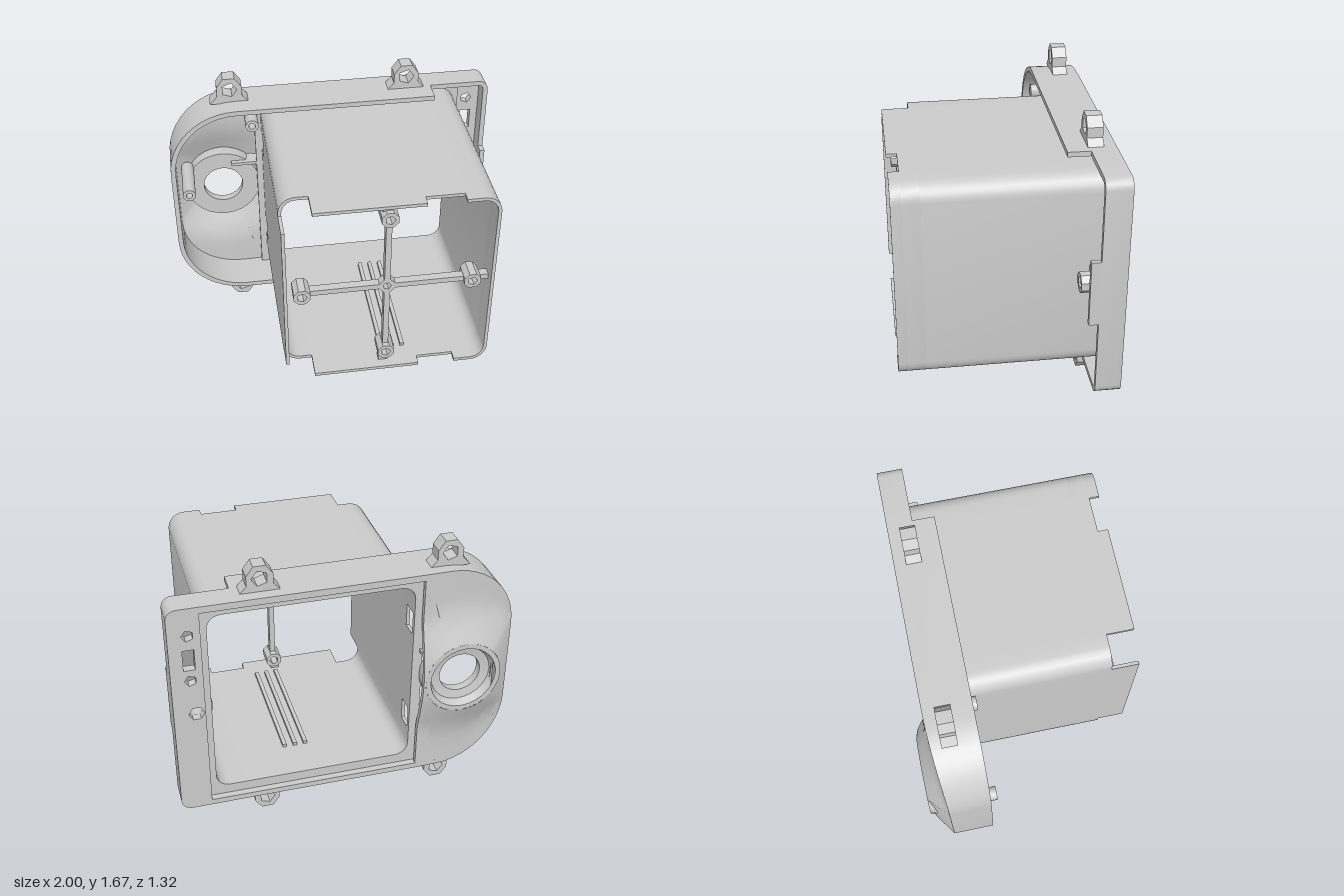
import * as THREE from 'three';
import { toCreasedNormals } from 'three/addons/utils/BufferGeometryUtils.js';

const mat = new THREE.MeshStandardMaterial({ color: 0xcccccc, side: THREE.DoubleSide });
const V = (x, y) => new THREE.Vector2(x, y);
const BACK = -0.59, LENS = V(-0.68, 0.845), EDGE = -0.44;

export function createModel() {
  const root = new THREE.Group();
  const add = (name, geo, x = 0, y = 0, z = 0) => {
    const m = new THREE.Mesh(toCreasedNormals(geo, 0.5), mat);
    m.name = name;
    m.position.set(x, y, z);
    root.add(m);
    return m;
  };
  const box = (name, x0, x1, y0, y1, z0, z1) =>
    add(name, new THREE.BoxGeometry(x1 - x0, y1 - y0, z1 - z0), (x0 + x1) / 2, (y0 + y1) / 2, (z0 + z1) / 2);
  const slab = (name, shape, z0, z1, x = 0, y = 0) =>
    add(name, new THREE.ExtrudeGeometry(shape, { depth: z1 - z0, bevelEnabled: false, curveSegments: 10 }), x, y, z0);
  const disc = (x, y, r, n, turn = 0) =>
    Array.from({ length: n }, (_, i) => {
      const a = turn + (i / n) * Math.PI * 2;
      return V(x + r * Math.cos(a), y + r * Math.sin(a));
    });
  const rect = (x0, x1, y0, y1) => [V(x0, y0), V(x1, y0), V(x1, y1), V(x0, y1)];
  const shapeOf = (pts, ...holes) => {
    const s = new THREE.Shape(pts);
    s.holes = holes.map((h) => new THREE.Path(h));
    return s;
  };
  const boss = (name, x, y, r, hole, z0, z1, n = 8) =>
    slab(name, shapeOf(disc(0, 0, r, n, Math.PI / n), disc(0, 0, hole, n === 8 ? 5 : n)), z0, z1, x, y);
  // Quarter arc from angle a (in quarter turns), stepping by dir
  const arc = (cx, cy, r, a, dir, n) =>
    Array.from({ length: n + 1 }, (_, i) => {
      const t = (a + (dir * i) / n) * Math.PI / 2;
      return V(cx + r * Math.cos(t), cy + r * Math.sin(t));
    });
  // Skin over closed loops of points; wrap joins the last loop to the first
  const loft = (rows, wrap) => {
    const n = rows[0].length, idx = [];
    for (let r = 0; r < rows.length - (wrap ? 0 : 1); r++)
      for (let i = 0; i < n; i++) {
        const s = (r + 1) % rows.length, j = (i + 1) % n;
        idx.push(r * n + i, r * n + j, s * n + j, r * n + i, s * n + j, s * n + i);
      }
    const g = new THREE.BufferGeometry();
    g.setAttribute('position', new THREE.Float32BufferAttribute(rows.flat().flatMap((p) => [p.x, p.y, p.z]), 3));
    g.setIndex(idx);
    return g;
  };

  // Rim wall: large round corners on the right side of the model, small on the other
  const outline = (i) => {
    const r = 0.06 - i, R = 0.42 - i, top = 1.53 - i, bot = 0.165 + i;
    return [
      ...arc(0.94, 0.225, r, 3, 1, 5), ...arc(0.94, 1.47, r, 0, 1, 5),
      V(0.631, top), V(0.63, top), V(EDGE, top),
      ...arc(-0.58, 1.11, R, 1, 1, 12), ...arc(-0.58, 0.585, R, 2, 1, 12),
      V(EDGE, bot), V(0.63, bot), V(0.631, bot),
    ];
  };
  const baseZ = (x) => BACK + 0.04 * Math.max(0, (EDGE - x) / 0.56) ** 2;
  const frontZ = (x) => (x > 0.6305 ? -0.44 : -0.31);
  const outer = outline(0), inner = outline(0.03);
  const lift = (pts, f) => pts.map((p) => new THREE.Vector3(p.x, p.y, f(p.x)));
  add('rimWall', loft([lift(outer, baseZ), lift(inner, baseZ), lift(inner, frontZ), lift(outer, frontZ)], true));

  // Flat back panel around the opening, with holes in the side strip
  const right = outer.slice(0, 15);
  const panel = [...right, V(EDGE, 1.49), V(0.82, 1.49), V(0.82, 0.2), V(EDGE, 0.2), V(EDGE, 0.165)];
  slab('backPanel', shapeOf(panel, rect(0.86, 0.925, 1.14, 1.27),
    disc(0.89, 1.36, 0.035, 5), disc(0.89, 1.07, 0.035, 5), disc(0.87, 0.845, 0.045, 6)), BACK, -0.54);

  // Domed panel around the round port, lofted from the port to the rim
  const edge = outer.filter((p) => p.x < EDGE + 0.001);
  for (let i = 1; i < 28; i++) edge.push(V(EDGE, 0.165 + (1.365 * i) / 28));
  const domeRow = (u, drop) => edge.map((p) => {
    const D = p.distanceTo(LENS), d = 0.23 + (D - 0.23) * u;
    const span = p.x > EDGE - 0.001 ? 0.2 : Math.min(0.2, D - 0.23);
    const t = Math.min(1, (d - 0.23) / span);
    const q = LENS.clone().lerp(p, d / D);
    return new THREE.Vector3(q.x, q.y, THREE.MathUtils.lerp(-0.66, baseZ(q.x), t) + drop);
  });
  const steps = [0, 0.2, 0.4, 0.6, 0.8, 1];
  add('domedPanel', loft([...steps.map((u) => domeRow(u, 0)), ...steps.map((u) => domeRow(1 - u, 0.03))]));

  // Port ring with a counterbore
  const port = [[0.24, -0.6], [0.23, -0.66], [0.2, -0.66], [0.18, -0.61], [0.125, -0.6], [0.125, -0.55], [0.235, -0.55], [0.24, -0.6]];
  const ring = new THREE.LatheGeometry(port.map(([r, z]) => V(r, z)), 28);
  ring.rotateX(Math.PI / 2);
  add('portRing', ring, LENS.x, LENS.y, 0);

  // Sleeve profile: matched points, opened on one side wall
  const profile = (i) => {
    const r = 0.1 - i, L = -0.42 + i, T = 1.46 - i, B = 0.24 + i;
    return [
      V(L, 1.25), ...arc(-0.32, 1.36, r, 2, -1, 6), V(-0.25, T), V(0.38, T), V(0.6, T),
      ...arc(0.7, 1.36, r, 1, -1, 6), ...arc(0.7, 0.34, r, 0, -1, 6),
      V(0.6, B), V(0.38, B), V(-0.25, B), ...arc(-0.32, 0.34, r, 3, -1, 6), V(L, 0.44),
    ];
  };
  const so = profile(0), si = profile(0.02);
  const wall = (a, b, z0, z1) =>
    slab('sleeveWall', shapeOf([...so.slice(a, b + 1), ...si.slice(a, b + 1).reverse()]), z0, z1);
  wall(0, 35, -0.54, 0.5);
  wall(8, 27, 0.5, 0.6);
  wall(8, 9, 0.6, 0.66);
  wall(10, 25, 0.6, 0.66);
  wall(26, 27, 0.6, 0.66);
  // Side wall with two slots near the back and a tongue at the front
  box('sleeveSide', -0.42, -0.4, 0.44, 1.25, -0.42, 0.5);
  box('sleeveSide', -0.42, -0.4, 0.58, 1.11, -0.54, -0.42);
  box('sleeveTongue', -0.42, -0.4, 0.36, 1.34, 0.5, 0.66);

  // Ledge joining sleeve and frame
  slab('ledge', shapeOf(rect(-0.46, 0.83, 0.2, 1.49), [...si]), -0.55, -0.52);

  // Cross brace with screw bosses
  const cx = 0.185, cy = 0.845;
  const bar = (name, x0, x1, y0, y1) => box(name, x0, x1, y0, y1, 0.55, 0.6);
  bar('braceArm', -0.27, cx - 0.03, cy - 0.017, cy + 0.017);
  bar('braceArm', cx + 0.03, 0.64, cy - 0.017, cy + 0.017);
  bar('braceArm', 0.72, 0.78, cy - 0.017, cy + 0.017);
  for (const s of [-1, 1]) {
    const span = (a, b) => [cy + s * a, cy + s * b].sort((p, q) => p - q);
    bar('braceArm', cx - 0.017, cx + 0.017, ...span(0.03, 0.455));
    bar('braceFoot', cx - 0.04, cx + 0.015, ...span(0.54, 0.6));
    boss('braceBoss', cx, cy + s * 0.497, 0.052, 0.03, 0.51, 0.63);
    boss('braceBoss', cx + s * 0.497, cy, 0.052, 0.03, 0.51, 0.63);
    // Guide rails along the sleeve floor and roof
    for (const x of [0.18, 0.245, 0.31]) box('guideRail', x - 0.012, x + 0.012, ...span(0.565, 0.595), -0.3, 0.5);
  }
  boss('braceHub', cx, cy, 0.05, 0.025, 0.55, 0.6);

  // Mounting ears
  const ear = [V(-0.12, -0.01), V(-0.075, 0.04), V(-0.075, 0.1), V(-0.035, 0.155), V(0.035, 0.155), V(0.075, 0.1), V(0.075, 0.04), V(0.12, -0.01)];
  for (const x of [-0.605, 0.475]) {
    slab('mountingEar', shapeOf(ear, disc(0, 0.08, 0.048, 5)), -0.52, -0.43, x, 1.53);
    const low = slab('mountingEar', shapeOf(ear, disc(0, 0.08, 0.048, 5)), -0.52, -0.43, x, 0.165);
    low.rotation.z = Math.PI;
  }

  // Side strip boss and raised rim
  boss('sideBoss', 0.87, cy, 0.1, 0.045, -0.54, -0.42, 16);
  boss('sideBossTip', 0.86, cy, 0.06, 0.035, -0.42, -0.355);
  box('raisedRim', 0.97, 1, 0.65, 1.05, -0.44, -0.385);

  // Small posts and a rib behind the domed panel
  boss('post', -0.9, 0.98, 0.04, 0.02, -0.58, -0.265, 14);
  boss('post', -0.487, 1.435, 0.04, 0.02, -0.57, -0.285, 14);
  box('rib', -0.62, -0.44, 1.0, 1.02, -0.62, -0.52);
  return root;
}
